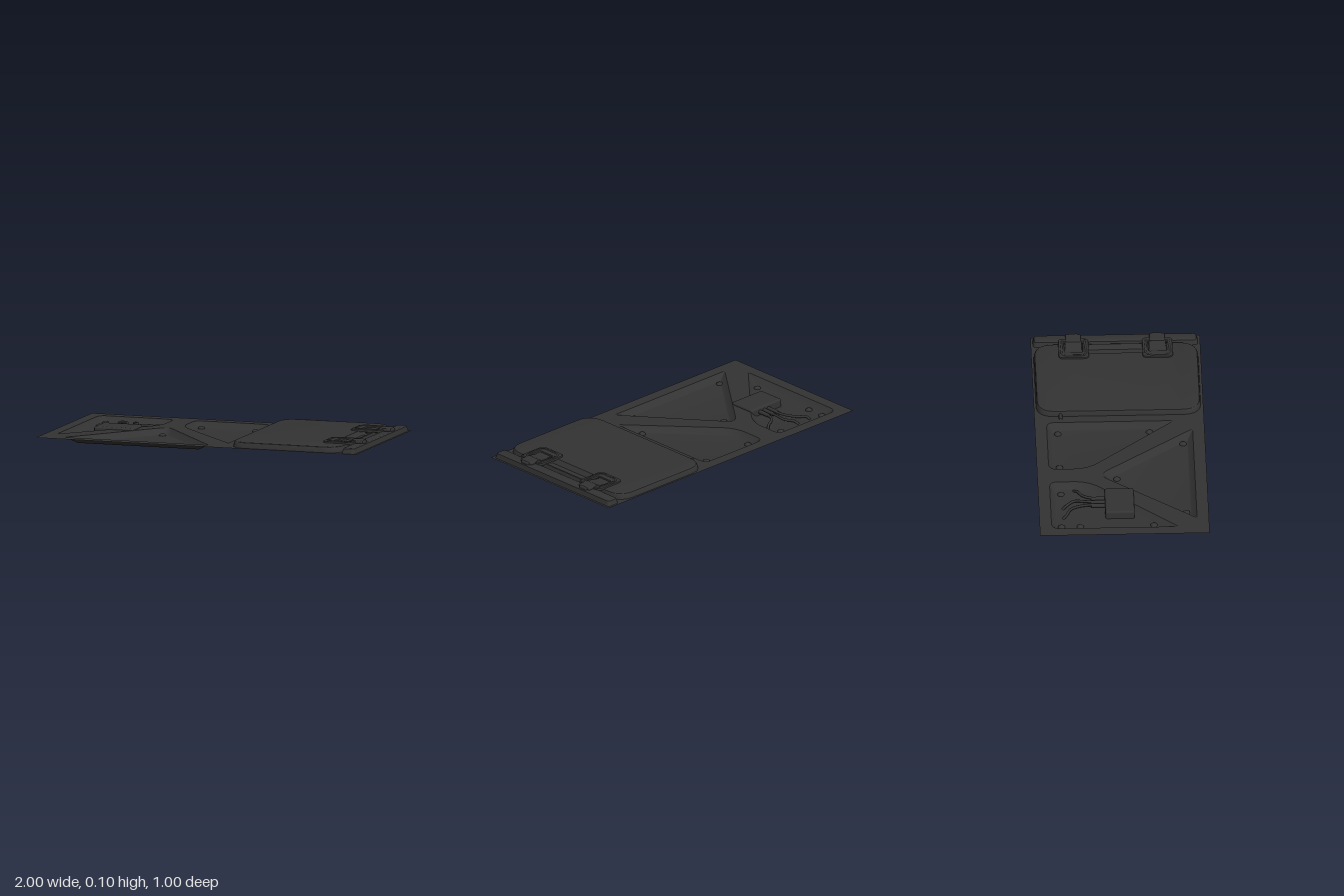
import * as THREE from 'three';
import { toCreasedNormals } from 'three/addons/utils/BufferGeometryUtils.js';
import { RoundedBoxGeometry } from 'three/addons/geometries/RoundedBoxGeometry.js';

const SHEET_Y = 0.045, FLOOR_Y = 0.01;
const mat = new THREE.MeshStandardMaterial({ color: 0x333333, side: THREE.DoubleSide });

function add(parent, name, geometry, x = 0, y = 0, z = 0) {
  const mesh = new THREE.Mesh(geometry, mat);
  mesh.name = name;
  mesh.position.set(x, y, z);
  parent.add(mesh);
  return mesh;
}

// Outline of [x, z, cornerRadius] corners, inset by d, as counter-clockwise points (x, -z)
function outline(corners, d = 0) {
  let c = corners.map(([x, z, r]) => ({ p: new THREE.Vector2(x, -z), r }));
  if (THREE.ShapeUtils.area(c.map((k) => k.p)) < 0) c = c.reverse();
  const n = c.length;
  const moved = c.map(({ p }, i) => {
    const u = p.clone().sub(c[(i + n - 1) % n].p).normalize();
    const v = c[(i + 1) % n].p.clone().sub(p).normalize();
    const k = d / (1 + u.dot(v));
    return new THREE.Vector2(p.x - (u.y + v.y) * k, p.y + (u.x + v.x) * k);
  });
  const points = [];
  moved.forEach((p, i) => {
    const toward = (q) => p.clone().add(q.clone().sub(p).setLength(c[i].r));
    const curve = new THREE.QuadraticBezierCurve(toward(moved[(i + n - 1) % n]), p, toward(moved[(i + 1) % n]));
    points.push(...curve.getPoints(8));
  });
  return points;
}

function flatShape(points, holes = []) {
  const shape = new THREE.Shape(points);
  shape.holes = holes.map((h) => new THREE.Path(h));
  return new THREE.ShapeGeometry(shape).rotateX(-Math.PI / 2);
}

// Pressed form: walls through [inset, y] steps, closed by a flat cap
function pressed(corners, steps, holes = []) {
  const pos = [];
  const rings = steps.map(([d]) => outline(corners, d));
  for (let s = 0; s < steps.length - 1; s++) {
    const a = rings[s], b = rings[s + 1], ya = steps[s][1], yb = steps[s + 1][1];
    for (let i = 0; i < a.length; i++) {
      const j = (i + 1) % a.length;
      const A = [a[i].x, ya, -a[i].y], B = [a[j].x, ya, -a[j].y];
      const C = [b[j].x, yb, -b[j].y], D = [b[i].x, yb, -b[i].y];
      pos.push(...A, ...B, ...C, ...A, ...C, ...D);
    }
  }
  const cap = flatShape(rings.at(-1), holes).translate(0, steps.at(-1)[1], 0).toNonIndexed();
  pos.push(...cap.attributes.position.array);
  const g = new THREE.BufferGeometry();
  g.setAttribute('position', new THREE.Float32BufferAttribute(pos, 3));
  return toCreasedNormals(g, 0.5);
}

const rect = (x0, x1, z0, z1, r) => [[x0, z0, r], [x1, z0, r], [x1, z1, r], [x0, z1, r]];

function tube(points, radius) {
  const curve = new THREE.CatmullRomCurve3(points.map((p) => new THREE.Vector3(...p)));
  return new THREE.TubeGeometry(curve, 20, radius, 8);
}

function createLatch() {
  const latch = new THREE.Group();
  latch.name = 'latch';
  // Frame lying on the cover
  const frame = new THREE.Shape(outline(rect(0.735, 0.92, -0.085, 0.085, 0.025)));
  frame.holes.push(new THREE.Path(outline(rect(0.785, 0.89, -0.058, 0.058, 0.012))));
  const frameGeo = new THREE.ExtrudeGeometry(frame, {
    depth: 0.008, bevelThickness: 0.004, bevelSize: 0.004, bevelSegments: 2,
  }).rotateX(-Math.PI / 2);
  add(latch, 'latchFrame', frameGeo, 0, 0.078, 0);
  // Raised inner loop around the lever
  add(latch, 'latchLoop', tube([[0.9, 0.087, -0.065], [0.76, 0.087, -0.065], [0.752, 0.087, 0],
    [0.76, 0.087, 0.065], [0.9, 0.087, 0.065]], 0.007));
  // Sloping lever and its tray
  add(latch, 'latchLever', new RoundedBoxGeometry(0.1, 0.016, 0.1, 2, 0.006), 0.84, 0.076, 0).rotation.z = 0.18;
  add(latch, 'latchTray', new RoundedBoxGeometry(0.08, 0.035, 0.11, 2, 0.006), 0.85, 0.055, 0);
  // Hinge pin and hook
  add(latch, 'latchPin', new THREE.CylinderGeometry(0.011, 0.011, 0.15, 12).rotateX(Math.PI / 2), 0.905, 0.083, 0);
  add(latch, 'latchHook', new RoundedBoxGeometry(0.075, 0.02, 0.09, 2, 0.008), 0.925, 0.086, 0);
  add(latch, 'latchCatch', new RoundedBoxGeometry(0.025, 0.026, 0.06, 2, 0.008), 0.96, 0.08, 0);
  return latch;
}

export function createModel() {
  const model = new THREE.Group();
  model.name = 'panel';

  // Recess outlines: two mirrored corner pockets and a triangle between them
  const axis = -0.395;
  const leftPocket = [[-0.93, -0.43, 0.05], [-0.46, -0.43, 0.05], [-0.46, -0.2, 0.09], [-0.93, 0.32, 0.012]];
  const rightPocket = leftPocket.map(([x, z, r]) => [2 * axis - x, z, r]);
  const triangle = [[axis, -0.14, 0.07], [axis + 0.45, 0.43, 0.012], [axis - 0.45, 0.43, 0.012]];
  const pockets = { leftPocket, rightPocket, trianglePocket: triangle };
  const cover = rect(0.2, 0.89, -0.487, 0.485, 0.11);
  const rail = rect(0.902, 0.986, -0.487, 0.485, 0.02);

  // Base sheet with openings for every pressed form
  const openings = [...Object.values(pockets), cover, rail].map((c) => outline(c));
  const sheet = [[-1, -0.5], [-1, 0.5], [1, 0.5], [1, -0.5]].map(([x, y]) => new THREE.Vector2(x, y));
  add(model, 'baseSheet', flatShape(sheet, openings), 0, SHEET_Y, 0);

  for (const [name, corners] of Object.entries(pockets)) {
    add(model, name, pressed(corners, [[0, SHEET_Y], [0.003, SHEET_Y - 0.003], [0.03, FLOOR_Y + 0.002], [0.035, FLOOR_Y]]));
  }

  // Raised cover with a grip notch between the latches
  const notch = rect(0.785, 0.876, -0.21, 0.21, 0.02);
  add(model, 'cover', pressed(cover, [[0, SHEET_Y], [0.004, 0.07], [0.008, 0.077], [0.014, 0.08]], [outline(notch)]));
  add(model, 'gripNotch', pressed(notch, [[0, 0.08], [0.022, 0.055]]));
  add(model, 'endRail', pressed(rail, [[0, SHEET_Y], [0.008, 0.074], [0.016, 0.079]]));

  for (const z of [-0.25, 0.245]) {
    const latch = createLatch();
    latch.position.z = z;
    model.add(latch);
  }

  // Domed bolts on the recess floors
  const bolts = [[-0.87, -0.37], [-0.87, -0.26], [-0.865, 0.175], [-0.54, -0.365], [-0.27, -0.365],
    [0.07, -0.365], [0.075, 0.175], [axis, -0.03], [-0.745, 0.37], [-0.05, 0.37]];
  const boltGeo = new THREE.SphereGeometry(0.021, 16, 6, 0, Math.PI * 2, 0, Math.PI / 2).scale(1, 0.65, 1);
  for (const [x, z] of bolts) add(model, 'bolt', boltGeo, x, FLOOR_Y, z);

  // Junction box with three sleeved cables
  add(model, 'junctionBox', new RoundedBoxGeometry(0.245, 0.059, 0.172, 3, 0.012), -0.67, 0.0295, -0.023);
  const cables = [
    [[-0.685, -0.1], [-0.682, -0.22], [-0.72, -0.31], [-0.775, -0.34], [-0.785, -0.36]],
    [[-0.65, -0.1], [-0.645, -0.22], [-0.64, -0.29], [-0.68, -0.34], [-0.69, -0.36]],
    [[-0.615, -0.1], [-0.61, -0.19], [-0.585, -0.24], [-0.53, -0.27], [-0.505, -0.29]],
  ];
  for (const path of cables) {
    const heights = [0.03, 0.032, 0.032, 0.024, 0.008];
    add(model, 'cable', tube(path.map(([x, z], i) => [x, heights[i], z]), 0.008));
    add(model, 'cableSleeve', new THREE.CylinderGeometry(0.011, 0.013, 0.1, 12).rotateX(-Math.PI / 2), path[0][0], 0.03, -0.14);
  }

  // Short feed rod entering the cover
  add(model, 'feedRod', tube([[0.165, 0.045, -0.345], [0.19, 0.05, -0.345], [0.225, 0.062, -0.345]], 0.011));
  return model;
}
